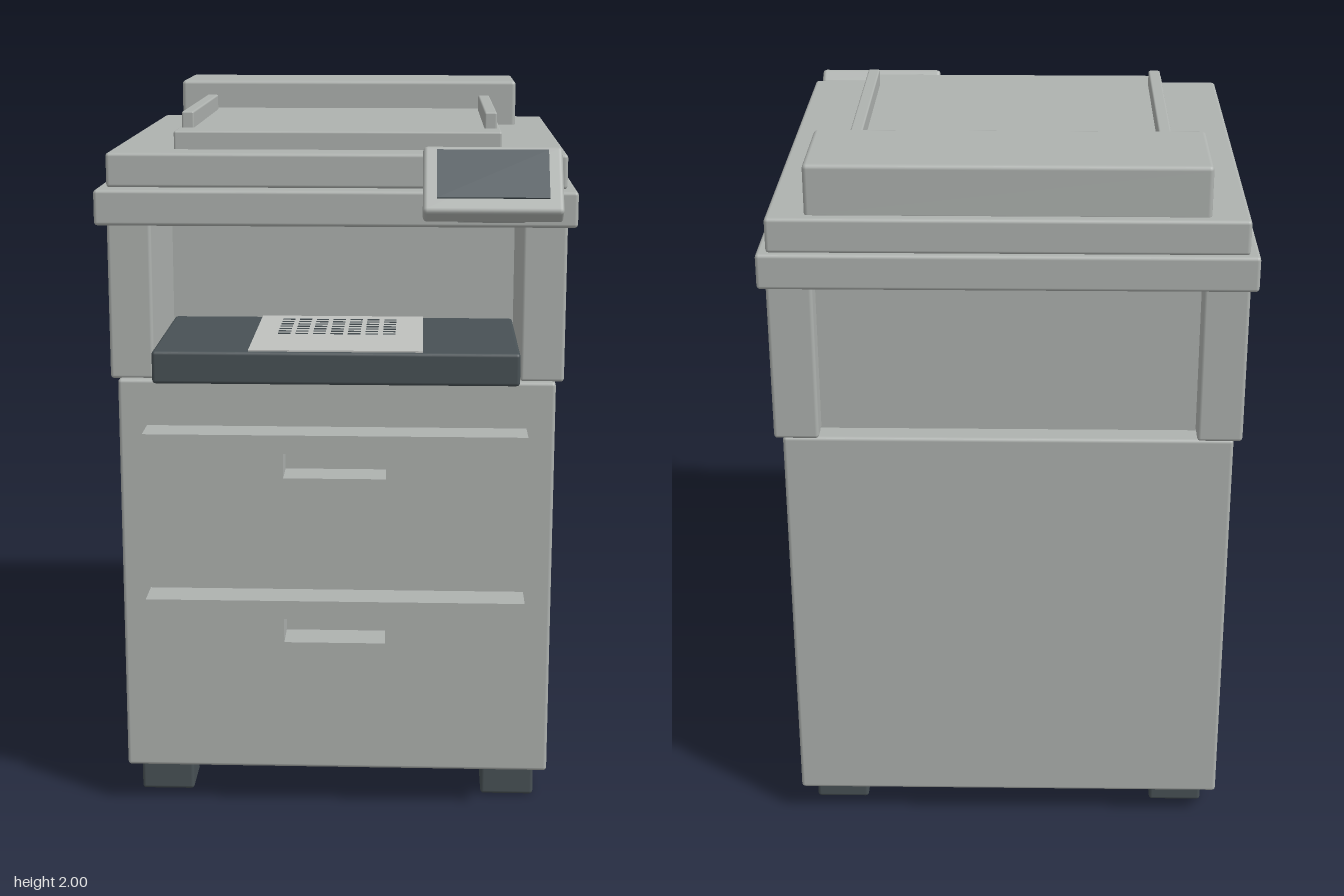
import * as THREE from 'three';
import { RoundedBoxGeometry } from 'three/addons/geometries/RoundedBoxGeometry.js';

export function createModel() {
  const model = new THREE.Group();
  model.name = 'officeCopier';

  const mat = (name, color) => {
    const m = new THREE.MeshStandardMaterial({ color });
    m.name = name;
    return m;
  };
  const body = mat('bodyGrey', 0xaeb2af);
  const dark = mat('darkPlastic', 0x485155);
  const screenMat = mat('screenSlate', 0x465157);
  const paperMat = mat('paperGrey', 0xbfc1be);

  const add = (name, geometry, material, parent = model) => {
    const mesh = new THREE.Mesh(geometry, material);
    mesh.name = name;
    parent.add(mesh);
    return mesh;
  };
  // Box given by its limits on each axis, with softened edges when r > 0
  const block = (name, material, [x0, x1], [y0, y1], [z0, z1], r = 0.01) => {
    const size = [x1 - x0, y1 - y0, z1 - z0];
    const geometry = r ? new RoundedBoxGeometry(...size, 2, r) : new THREE.BoxGeometry(...size);
    const mesh = add(name, geometry, material);
    mesh.position.set((x0 + x1) / 2, (y0 + y1) / 2, (z0 + z1) / 2);
    return mesh;
  };

  // Feet
  for (const x of [-0.495, 0.495]) {
    for (const z of [0.437, -0.553]) {
      block('foot', dark, [x - 0.076, x + 0.076], [0, 0.1], [z - 0.076, z + 0.076]);
    }
  }

  // Lower cabinet
  block('cabinet', body, [-0.607, 0.607], [0.09, 1.238], [-0.707, 0.55]);

  // Drawers with a slot cut for the hand
  const rect = (Type, w, y0, y1) => {
    const s = new Type();
    s.moveTo(-w, y0);
    s.lineTo(w, y0);
    s.lineTo(w, y1);
    s.lineTo(-w, y1);
    s.closePath();
    return s;
  };
  for (const y of [0.215, 0.69]) {
    const face = rect(THREE.Shape, 0.528, 0, 0.418);
    face.holes.push(rect(THREE.Path, 0.141, 0.297, 0.366));
    const drawer = add('drawer',
      new THREE.ExtrudeGeometry(face, { depth: 0.112, bevelEnabled: false }), body);
    drawer.position.set(0, y, 0.545);
  }

  // Upper housing: side walls around a recessed core
  for (const [x0, x1] of [[-0.63, -0.508], [0.508, 0.63]]) {
    block('sideWall', body, [x0, x1], [1.235, 1.685], [-0.71, 0.53]);
  }
  block('housingCore', body, [-0.515, 0.515], [1.235, 1.685], [-0.645, 0.06], 0);

  // Output tray with a printed sheet
  block('outputTray', dark, [-0.506, 0.506], [1.235, 1.327], [0.05, 0.594]);
  block('paperSheet', paperMat, [-0.24, 0.24], [1.326, 1.331], [0.06, 0.585], 0);
  for (let row = 0; row < 7; row++) {
    const z = 0.345 - row * 0.037;
    for (let i = 0; i < 7; i++) {
      const x = -0.175 + i * 0.05;
      block('printedDash', dark, [x, x + 0.036], [1.33, 1.333], [z - 0.004, z + 0.004], 0);
    }
  }

  // Scanner base, lid, platen and feeder
  block('scannerBase', body, [-0.65, 0.65], [1.675, 1.772], [-0.733, 0.62]);
  block('scannerLid', body, [-0.624, 0.624], [1.77, 1.865], [-0.718, 0.557]);
  block('documentBed', body, [-0.45, 0.45], [1.855, 1.915], [-0.4, 0.452], 0.006);
  for (const x of [-0.422, 0.422]) {
    block('paperGuide', body, [x - 0.017, x + 0.017], [1.9, 1.96], [-0.325, 0.347], 0.005);
  }
  block('documentFeeder', body, [-0.524, 0.524], [1.855, 2], [-0.69, -0.384], 0.012);

  // Tilted control panel on a bracket
  block('panelBracket', body, [0.325, 0.512], [1.69, 1.8], [0.54, 0.635], 0.008);
  const panel = new THREE.Group();
  panel.name = 'controlPanel';
  panel.position.set(0.42, 1.795, 0.646);
  panel.rotation.x = -THREE.MathUtils.degToRad(42);
  model.add(panel);
  add('panelHousing', new RoundedBoxGeometry(0.37, 0.215, 0.054, 2, 0.012), body, panel);
  const screen = add('panelScreen', new THREE.BoxGeometry(0.296, 0.155, 0.008), screenMat, panel);
  screen.position.set(0, 0.012, 0.028);

  return model;
}
